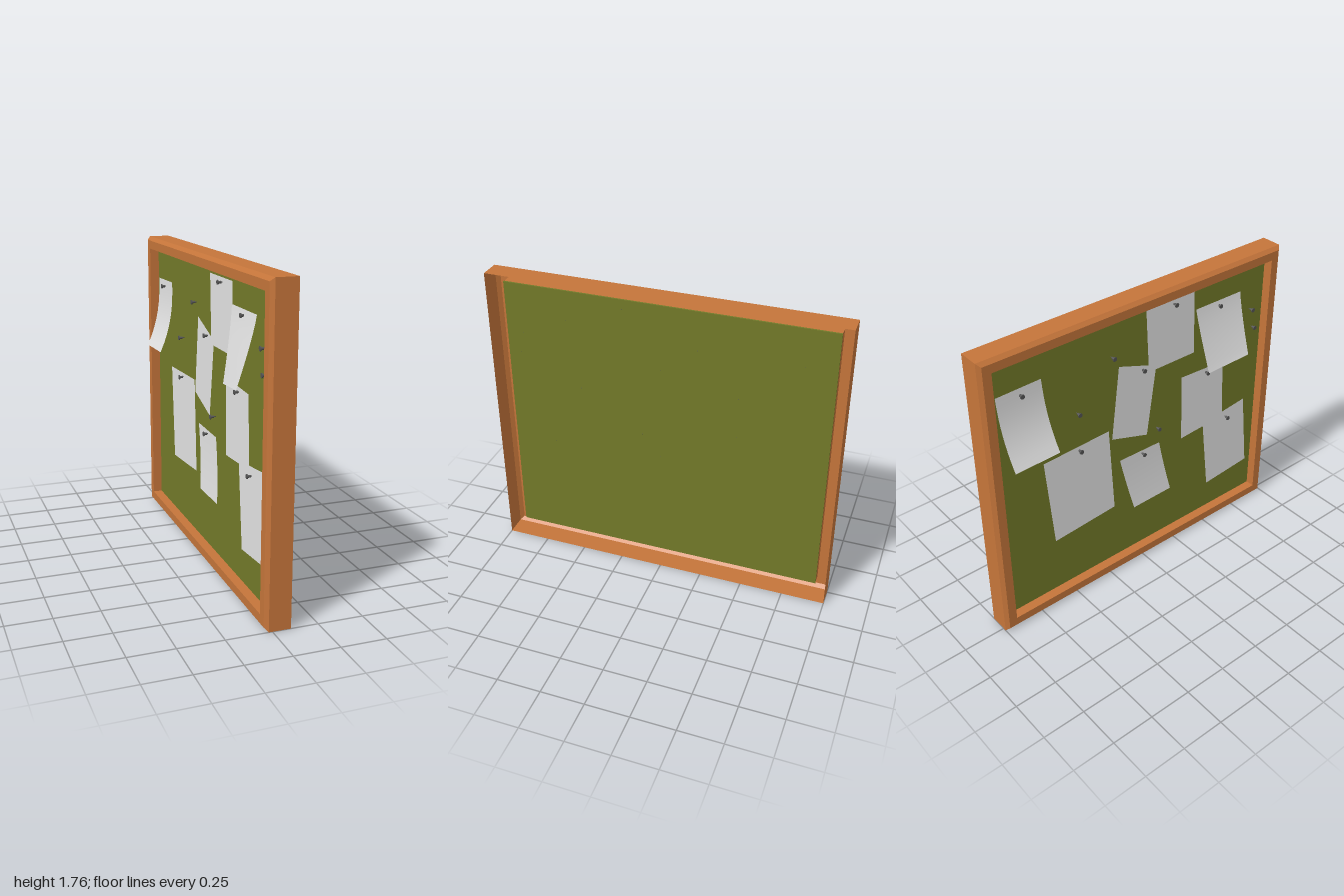
import * as THREE from 'three';

const H = 1.76;

const wood = new THREE.MeshStandardMaterial({ color: 0xc5753a, side: THREE.DoubleSide });
wood.name = 'wood';
const felt = new THREE.MeshStandardMaterial({ color: 0x737a29 });
felt.name = 'olive felt';
const white = new THREE.MeshStandardMaterial({ color: 0xe4e4e4, side: THREE.DoubleSide });
white.name = 'paper white';
const steel = new THREE.MeshStandardMaterial({ color: 0x555555 });
steel.name = 'pin grey';

// Open-backed frame: a folded profile [inset, x] swept round the rectangle with mitred corners
function frameGeometry(profile) {
  const rings = profile.map(([d, x]) => [
    [x, d, -1 + d], [x, d, 1 - d], [x, H - d, 1 - d], [x, H - d, -1 + d],
  ]);
  const pos = [];
  for (let i = 0; i < rings.length - 1; i++) {
    for (let k = 0; k < 4; k++) {
      const n = (k + 1) % 4;
      const a = rings[i][k], b = rings[i][n], c = rings[i + 1][k], d = rings[i + 1][n];
      pos.push(...a, ...b, ...c, ...b, ...d, ...c);
    }
  }
  const g = new THREE.BufferGeometry();
  g.setAttribute('position', new THREE.Float32BufferAttribute(pos, 3));
  g.computeVertexNormals();
  return g;
}

// Sheet between four [z, y] corners (TL, TR, BR, BL); its lower edge curls away from the board
function sheetGeometry([tl, tr, br, bl], x0, curl) {
  const g = new THREE.PlaneGeometry(1, 1, 1, curl ? 8 : 1);
  const p = g.attributes.position;
  const mix = THREE.MathUtils.lerp;
  const [left, right, power] = curl || [0, 0, 1];
  for (let i = 0; i < p.count; i++) {
    const s = p.getX(i) + 0.5, t = 0.5 - p.getY(i);
    const z = mix(mix(tl[0], tr[0], s), mix(bl[0], br[0], s), t);
    const y = mix(mix(tl[1], tr[1], s), mix(bl[1], br[1], s), t);
    p.setXYZ(i, x0 - mix(left, right, s) * Math.pow(t, power), y, z);
  }
  g.computeVertexNormals();
  return g;
}

// Pin with a flat head, a short stem and a point that passes through the board
function makePin(z, y) {
  const pin = new THREE.Group();
  pin.name = 'pin';
  const parts = [[0.013, 0.013, 0.006, -0.018], [0.007, 0.007, 0.018, -0.007], [0.003, 0.001, 0.03, 0.015]];
  for (const [r1, r2, len, x] of parts) {
    const m = new THREE.Mesh(new THREE.CylinderGeometry(r1, r2, len, 10), steel);
    m.rotation.z = Math.PI / 2;
    m.position.x = x;
    m.name = 'pinPart';
    pin.add(m);
  }
  pin.position.set(0, y, z);
  return pin;
}

export function createModel() {
  const model = new THREE.Group();
  model.name = 'noticeBoard';

  const frame = new THREE.Mesh(
    frameGeometry([[0, 0.1], [0, -0.02], [0.02, -0.04], [0.07, -0.04], [0.07, 0.02]]), wood);
  frame.name = 'frame';
  model.add(frame);

  const board = new THREE.Mesh(new THREE.BoxGeometry(0.01, H - 0.138, 1.862), felt);
  board.position.set(0.02, H / 2, 0);
  board.name = 'board';
  model.add(board);

  // Pinned sheets: corners, distance from the board, optional curl [left, right, power], pin
  const sheets = [
    { c: [[0.05, 1.66], [0.39, 1.66], [0.4, 1.27], [0.07, 1.27]], x: 0.009, pin: [0.24, 1.635] },
    { c: [[0.4, 1.545], [0.735, 1.545], [0.73, 1.18], [0.455, 1.145]], x: 0.002, curl: [0.067, 0.102, 1.2], pin: [0.57, 1.515] },
    { c: [[-0.9, 1.51], [-0.63, 1.515], [-0.6, 1.095], [-0.875, 1.09]], x: 0.008, curl: [0.088, 0.088, 2.4], pin: [-0.76, 1.475] },
    { c: [[-0.14, 1.39], [0.12, 1.3], [0.055, 0.86], [-0.195, 0.94]], x: 0.006, pin: [0.02, 1.31] },
    { c: [[0.31, 1.14], [0.63, 1.125], [0.65, 0.73], [0.32, 0.71]], x: 0.006, pin: [0.495, 1.105] },
    { c: [[0.495, 0.735], [0.83, 0.775], [0.885, 0.285], [0.55, 0.255]], x: 0.01, pin: [0.68, 0.71] },
    { c: [[-0.65, 0.99], [-0.215, 1.005], [-0.185, 0.455], [-0.605, 0.425]], x: 0.009, pin: [-0.42, 0.975] },
    { c: [[-0.14, 0.765], [0.15, 0.76], [0.225, 0.395], [-0.055, 0.39]], x: 0.009, curl: [0.02, 0.02, 2], pin: [0.02, 0.745] },
  ];
  for (const s of sheets) {
    const sheet = new THREE.Mesh(sheetGeometry(s.c, s.x, s.curl), white);
    sheet.name = 'paperSheet';
    model.add(sheet, makePin(...s.pin));
  }

  // Spare pins
  const spare = [[-0.185, 1.465], [-0.42, 1.215], [0.13, 0.875], [0.83, 1.4], [0.855, 1.275]];
  for (const [z, y] of spare) model.add(makePin(z, y));

  return model;
}
